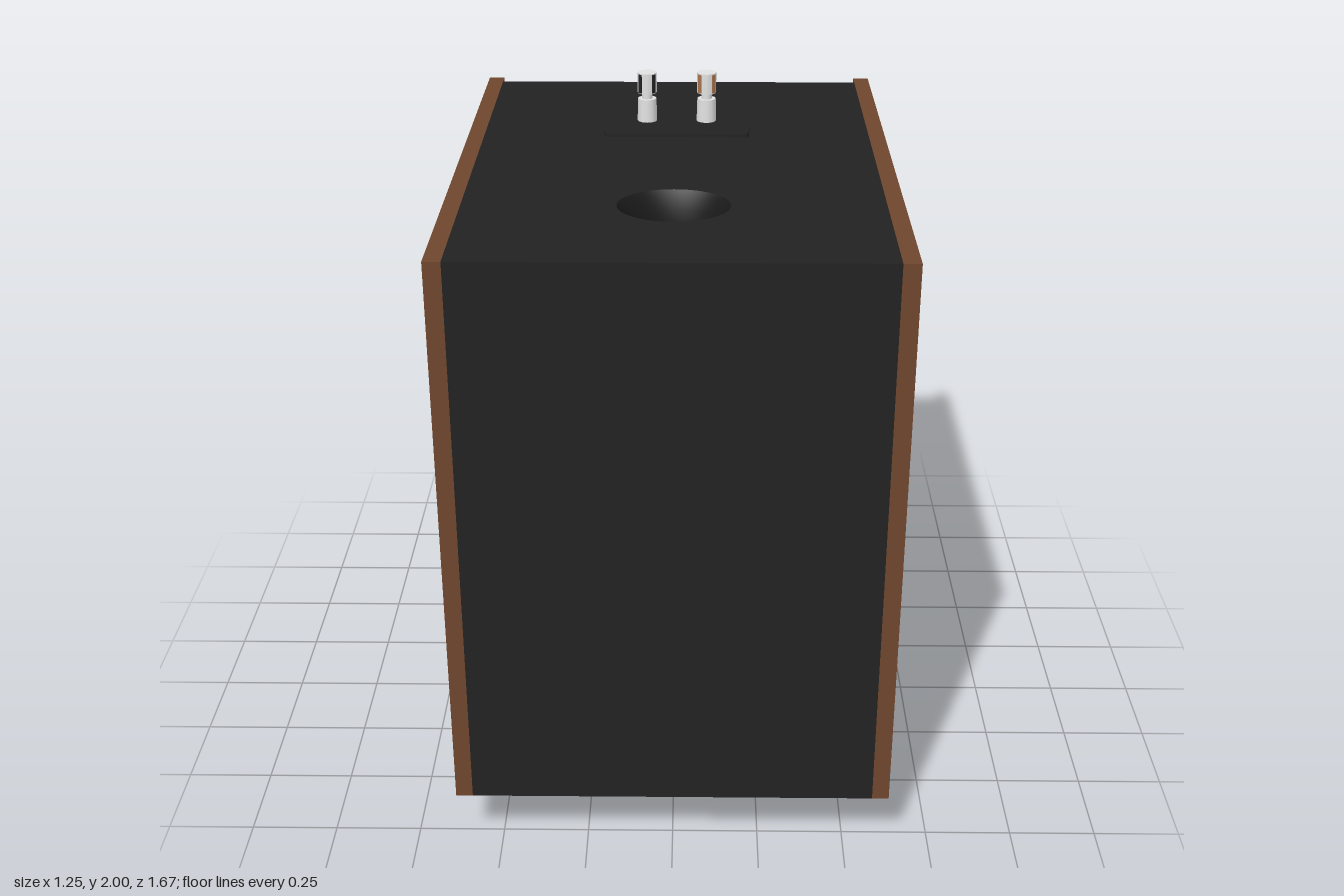
import * as THREE from 'three';

const mat = (name, color, side = THREE.FrontSide) => {
  const m = new THREE.MeshStandardMaterial({ color, side });
  m.name = name;
  return m;
};

export function createModel() {
  const wood = mat('walnut', 0x6f462d);
  const black = mat('cabinet black', 0x222222);
  const driverBlack = mat('driver black', 0x1a1a1a, THREE.DoubleSide);
  const silver = mat('silver', 0xe2e2e2, THREE.DoubleSide);
  const copper = mat('copper', 0xa8744f);

  const model = new THREE.Group();
  const slope = 0.19 / 1.67, tilt = Math.atan(slope), stretch = 1 / Math.cos(tilt);
  const floorY = z => 0.095 + slope * z;
  const top = 1.84, front = 0.835, back = -0.785;

  const add = (parent, name, geo, material, x = 0, y = 0, z = 0) => {
    const m = new THREE.Mesh(geo, material);
    m.name = name;
    m.position.set(x, y, z);
    parent.add(m);
    return m;
  };
  const box = (name, material, w, y0, y1, z0, z1, x = 0) =>
    add(model, name, new THREE.BoxGeometry(w, y1 - y0, z1 - z0), material, x, (y0 + y1) / 2, (z0 + z1) / 2);
  const lathe = (pts, seg = 64) => new THREE.LatheGeometry(pts.map(p => new THREE.Vector2(...p)), seg);
  // horizontal board hanging down from its own y = 0
  const board = (shape, depth) =>
    new THREE.ExtrudeGeometry(shape, { depth, bevelEnabled: false, curveSegments: 32 }).rotateX(Math.PI / 2);
  const rect = (w, z0, z1) => new THREE.Shape([[-w, z0], [w, z0], [w, z1], [-w, z1]].map(p => new THREE.Vector2(...p)));
  const hole = (shape, z, rx, rz) => {
    const p = new THREE.Path();
    p.absellipse(0, z, rx, rz, 0, Math.PI * 2, true);
    shape.holes.push(p);
    return shape;
  };
  // upright plate with the slanted lower edge
  const sidePlate = (name, material, z0, z1, x, thick) => {
    const s = new THREE.Shape([[-z1, floorY(z1)], [-z0, floorY(z0)], [-z0, top], [-z1, top]].map(p => new THREE.Vector2(...p)));
    const g = new THREE.ExtrudeGeometry(s, { depth: thick, bevelEnabled: false });
    g.rotateY(Math.PI / 2).translate(-thick / 2, 0, 0);
    add(model, name, g, material, x);
  };

  // side panels, their inner linings and rear edge strips
  for (const s of [-1, 1]) {
    sidePlate('sidePanel', wood, -0.832, front, s * 0.6, 0.048);
    sidePlate('sideLining', black, back, front - 0.005, s * 0.571, 0.01);
    box('rearEdgeStrip', black, 0.042, floorY(-0.83), top - 0.002, -0.839, -0.832, s * 0.599);
  }

  // hollow cabinet
  box('frontWall', black, 1.152, floorY(front), top, front - 0.03, front);
  box('backWall', black, 1.152, floorY(back), top, back, back + 0.03);
  add(model, 'topWall', board(hole(rect(0.576, back, front), 0.41, 0.155, 0.13), 0.03), black, 0, top);

  // flared port in the top wall
  const port = add(model, 'port', lathe([[0.155, 0], [0.145, -0.012], [0.125, -0.05], [0.115, -0.1], [0.11, -0.3], [0, -0.3]]),
    driverBlack, 0, top, 0.41);
  port.scale.z = 0.84;

  // slanted baffle carrying both drivers
  const baffle = new THREE.Group();
  baffle.name = 'baffle';
  baffle.position.y = 0.095;
  baffle.rotation.x = -tilt;
  model.add(baffle);
  const wz = -0.15 * stretch, tz = 0.56 * stretch;
  add(baffle, 'baffleBoard', board(hole(rect(0.576, back * stretch, front * stretch), wz, 0.33, 0.33), 0.03), black, 0, 0.03);

  // woofer: flat frame, raised surround, bright inner wall
  add(baffle, 'wooferFrame', lathe([[0.44, 0], [0.44, -0.01], [0.435, -0.013], [0.395, -0.013], [0.39, -0.008],
    [0.375, -0.008], [0.368, -0.025], [0.355, -0.034], [0.338, -0.03], [0.325, -0.012], [0.32, 0]]), driverBlack, 0, 0, wz);
  add(baffle, 'wooferInnerWall', lathe([[0.32, 0], [0.308, 0.08]]), silver, 0, 0, wz);

  // tweeter: plate, shallow dish and dome
  add(baffle, 'tweeterPlate', lathe([[0.245, 0], [0.245, -0.009], [0.24, -0.012], [0.14, -0.012], [0.1, -0.006], [0.06, -0.004]]),
    driverBlack, 0, 0, tz);
  add(baffle, 'tweeterDome', lathe([[0.06, -0.003], [0.055, -0.018], [0.04, -0.029], [0.02, -0.034], [0, -0.035]], 32),
    driverBlack, 0, 0, tz);

  // terminal plate with bowed ends
  const t = new THREE.Shape();
  t.moveTo(-0.205, -0.455);
  t.lineTo(0.205, -0.455);
  t.quadraticCurveTo(0.215, -0.455, 0.216, -0.44);
  t.quadraticCurveTo(0.226, -0.322, 0.216, -0.205);
  t.quadraticCurveTo(0.215, -0.19, 0.205, -0.19);
  t.lineTo(-0.205, -0.19);
  t.quadraticCurveTo(-0.215, -0.19, -0.216, -0.205);
  t.quadraticCurveTo(-0.226, -0.322, -0.216, -0.44);
  t.quadraticCurveTo(-0.215, -0.455, -0.205, -0.455);
  add(model, 'terminalPlate', board(t, 0.012), black, 0, top + 0.011);

  // binding posts: base nut, neck and ribbed cap
  for (const s of [-1, 1]) {
    const post = new THREE.Group();
    post.name = 'bindingPost';
    post.position.set(s * 0.09, top + 0.01, -0.328);
    model.add(post);
    const ribs = s > 0 ? copper : black;
    add(post, 'postNut', new THREE.CylinderGeometry(0.028, 0.03, 0.07, 12), silver, 0, 0.035);
    add(post, 'postNeck', new THREE.CylinderGeometry(0.016, 0.016, 0.03, 12), silver, 0, 0.08);
    add(post, 'postCap', new THREE.CylinderGeometry(0.029, 0.029, 0.062, 12), silver, 0, 0.119);
    for (let i = 0; i < 4; i++) {
      const a = Math.PI / 4 + i * Math.PI / 2;
      const rib = add(post, 'capRib', new THREE.BoxGeometry(0.012, 0.056, 0.008), ribs, Math.sin(a) * 0.027, 0.119, Math.cos(a) * 0.027);
      rib.rotation.y = a;
    }
  }
  return model;
}
